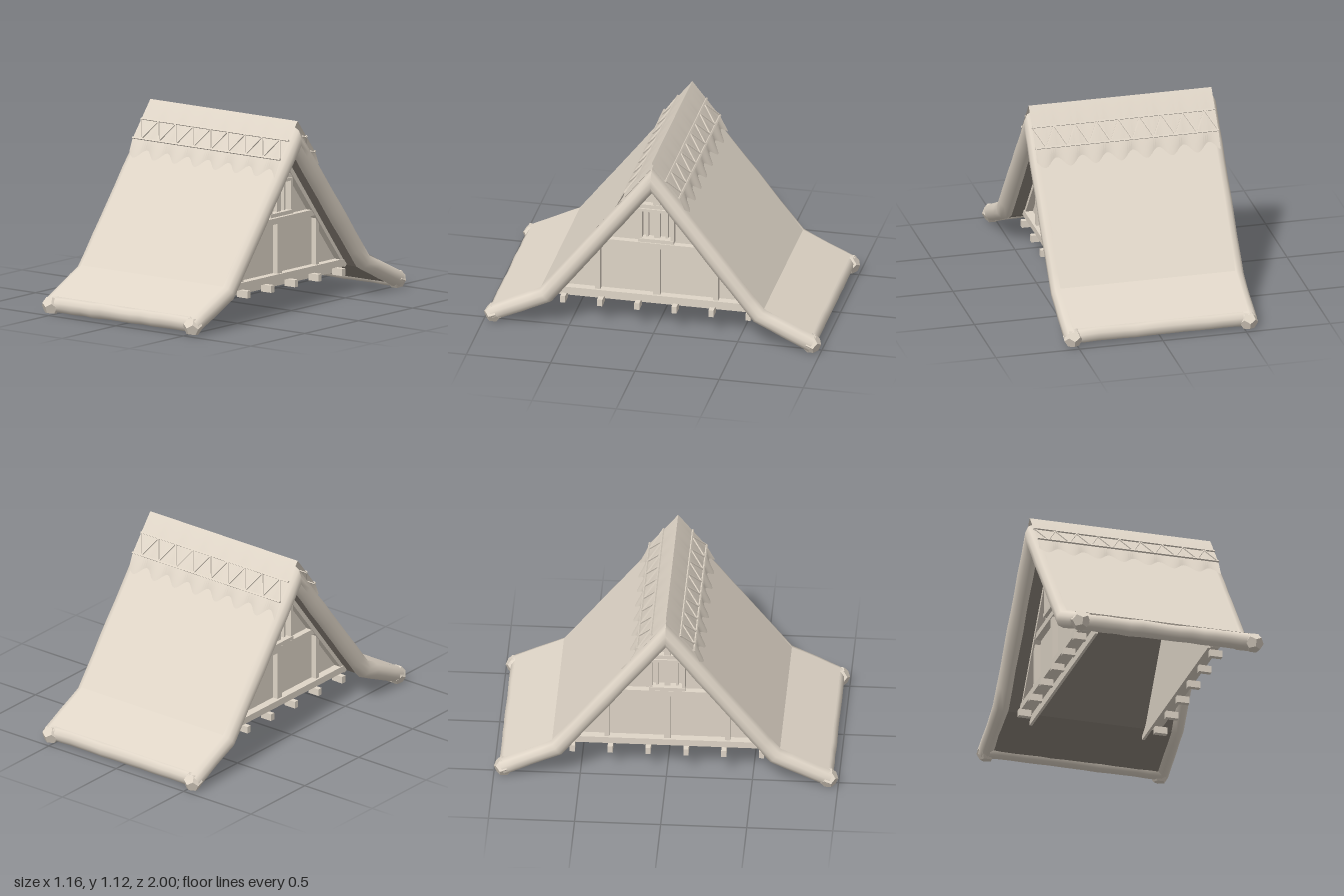
import * as THREE from 'three';
import { toCreasedNormals } from 'three/addons/utils/BufferGeometryUtils.js';

const V = (x, y, z) => new THREE.Vector3(x, y, z);

// small seeded generator for the uneven thatch rolls
function seeded(seed) {
  return () => {
    seed = (seed * 16807) % 2147483647;
    return seed / 2147483647;
  };
}

function indexed(positions, index, crease) {
  const g = new THREE.BufferGeometry();
  g.setAttribute('position', new THREE.Float32BufferAttribute(positions, 3));
  g.setIndex(index);
  return toCreasedNormals(g, crease);
}

// lumpy roll swept along a planar path with mitred corners
function roll(path, side, radius, seed) {
  const rnd = seeded(seed), sides = 10, pos = [], idx = [];
  path.forEach((p, i) => {
    const before = path[Math.max(i - 1, 0)], after = path[Math.min(i + 1, path.length - 1)];
    const t1 = (i ? p.clone().sub(before) : after.clone().sub(p)).normalize();
    const t2 = (i < path.length - 1 ? after.clone().sub(p) : t1.clone()).normalize();
    const t = t1.clone().add(t2).normalize();
    const n = side.clone().cross(t), mitre = 1 / t.dot(t1);
    const r = radius * (0.96 + 0.08 * rnd());
    for (let j = 0; j < sides; j++) {
      const a = (j / sides) * Math.PI * 2;
      const q = p.clone().addScaledVector(n, Math.cos(a) * r * mitre).addScaledVector(side, Math.sin(a) * r);
      pos.push(q.x, q.y, q.z);
      if (i) {
        const k = (j + 1) % sides, u = (i - 1) * sides, w = i * sides;
        idx.push(u + j, u + k, w + j, u + k, w + k, w + j);
      }
    }
  });
  return indexed(pos, idx, 0.8);
}

// sheet across x; every row gives [y, z] for a given x, from top to bottom
function sheet(halfWidth, steps, rows) {
  const pos = [], idx = [], n = steps + 1;
  rows.forEach((row, i) => {
    for (let j = 0; j < n; j++) {
      const x = -halfWidth + (2 * halfWidth * j) / steps;
      pos.push(x, ...row(x));
      if (i && j) {
        const a = (i - 1) * n + j - 1, c = i * n + j - 1;
        idx.push(a, c, a + 1, a + 1, c, c + 1);
      }
    }
  });
  return indexed(pos, idx, 0.4);
}

// rectangular bar between two points, depth measured along the normal
function bar(a, b, normal, width, depth) {
  const dir = b.clone().sub(a), g = new THREE.BoxGeometry(width, dir.length(), depth);
  const y = dir.normalize(), x = y.clone().cross(normal).normalize();
  const m = new THREE.Matrix4().makeBasis(x, y, x.clone().cross(y));
  m.setPosition(a.clone().add(b).multiplyScalar(0.5));
  return g.applyMatrix4(m);
}

export function createModel() {
  const model = new THREE.Group();
  const straw = new THREE.MeshStandardMaterial({ color: 0xdfd5c7, side: THREE.DoubleSide });
  straw.name = 'pale straw';
  const shade = new THREE.MeshStandardMaterial({ color: 0x8c847a, side: THREE.DoubleSide });
  shade.name = 'dark straw';
  const add = (parent, name, geometry, material = straw) => {
    const mesh = new THREE.Mesh(geometry, material);
    mesh.name = name;
    parent.add(mesh);
    return mesh;
  };

  // thatch rolls along both gable edges
  const corners = [[0.06, 0.95], [0.21, 0.632], [1.015, 0], [0.21, -0.632], [0.06, -0.95]];
  const counts = [4, 9, 9, 4];
  for (const s of [-1, 1]) {
    const path = [];
    counts.forEach((count, i) => {
      const [y0, z0] = corners[i], [y1, z1] = corners[i + 1];
      for (let k = 0; k < count; k++) {
        const f = k / count;
        path.push(V(s * 0.526, y0 + (y1 - y0) * f, z0 + (z1 - z0) * f));
      }
    });
    path.push(V(s * 0.526, 0.06, -0.95));
    add(model, 'gableRoll', roll(path, V(1, 0, 0), 0.0505, s + 40));
  }

  // each half of the roof; the second is turned to the back
  for (let half = 0; half < 2; half++) {
    const side = new THREE.Group();
    side.name = half ? 'backRoof' : 'frontRoof';
    side.rotation.y = half * Math.PI;
    model.add(side);

    add(side, 'thatch', sheet(0.527, 12, [
      () => [1.098, 0], () => [0.253, 0.662], () => [0.117, 0.945],
    ]));
    add(side, 'thatchUnderside', sheet(0.527, 12, [
      () => [0.965, 0], () => [0.178, 0.61], () => [0.035, 0.905],
    ]), shade);

    // roll along the eave with faceted ends
    const rnd = seeded(77 + half), eave = [];
    for (let i = 0; i <= 14; i++) {
      eave.push(V(-0.52 + (1.04 * i) / 14, 0.065 + 0.006 * rnd(), 0.922));
    }
    add(side, 'eaveRoll', roll(eave, V(0, 0, 1), 0.049, 9 + half));
    for (const s of [-1, 1]) {
      const end = add(side, 'rollEnd', new THREE.DodecahedronGeometry(0.058));
      end.position.set(s * 0.525, 0.06, 0.943);
      end.rotation.x = 0.4;
    }

    // ridge cap with a scalloped hem
    const hem = (x) => {
      const y = 0.848 - 0.023 * Math.cos((2 * Math.PI * (x - 0.107)) / 0.152);
      return [y, (1.098 - y) / 1.276 + 0.004];
    };
    add(side, 'ridgeCap', sheet(0.547, 84, [() => [1.134, 0], () => [0.925, 0.165], hem]));

    // lattice of rods on the cap
    const out = V(0, 0.62, 0.785), top = [1.03, 0.084], low = [0.93, 0.164];
    for (const [y, z] of [top, low]) {
      add(side, 'latticeRail', bar(V(-0.547, y, z), V(0.547, y, z), out, 0.01, 0.014));
    }
    const step = 1.094 / 17;
    for (let i = 0; i < 17; i++) {
      const [p, q] = i % 2 ? [low, top] : [top, low];
      const x = -0.547 + i * step;
      add(side, 'latticeRod', bar(V(x, ...p), V(x + step, ...q), out, 0.007, 0.01));
    }
  }

  // timber-framed gable walls
  const wallShape = new THREE.Shape([
    [-0.61, 0.18], [0.61, 0.18], [0, 0.99],
  ].map(([z, y]) => new THREE.Vector2(z, y)));
  // name, z0, y0, z1, y1, width, outward depth
  const timbers = [
    ['sill', -0.6, 0.2, 0.6, 0.2, 0.04, 0.05],
    ['collarBeam', -0.38, 0.533, 0.38, 0.533, 0.035, 0.04],
    ['centrePost', 0, 0.2, 0, 0.54, 0.04, 0.036],
    ['sidePost', -0.35, 0.2, -0.35, 0.53, 0.03, 0.036],
    ['sidePost', 0.35, 0.2, 0.35, 0.53, 0.03, 0.036],
    ['upperCollar', -0.2, 0.785, 0.2, 0.785, 0.025, 0.04],
    ['kingPost', 0, 0.78, 0, 0.95, 0.04, 0.036],
    ['rafter', 0.62, 0.19, 0, 0.975, 0.07, 0.045],
    ['rafter', -0.62, 0.19, 0, 0.975, 0.07, 0.045],
    ['windowSill', -0.105, 0.573, 0.105, 0.573, 0.022, 0.055],
    ['windowHead', -0.105, 0.765, 0.105, 0.765, 0.018, 0.05],
    ['windowJamb', -0.095, 0.57, -0.095, 0.77, 0.02, 0.05],
    ['windowJamb', 0.095, 0.57, 0.095, 0.77, 0.02, 0.05],
    ['windowMullion', 0, 0.57, 0, 0.77, 0.035, 0.03],
    ['windowBar', -0.058, 0.57, -0.058, 0.77, 0.014, 0.025],
    ['windowBar', 0.058, 0.57, 0.058, 0.77, 0.014, 0.025],
  ];
  for (let end = 0; end < 2; end++) {
    const gable = new THREE.Group();
    gable.name = end ? 'rightGable' : 'leftGable';
    gable.rotation.y = end * Math.PI;
    model.add(gable);

    const wall = new THREE.ExtrudeGeometry(wallShape, { depth: 0.045, bevelEnabled: false });
    add(gable, 'gableWall', wall.rotateY(Math.PI / 2).translate(0.335, 0, 0));
    add(gable, 'wallPlate', bar(V(0.341, 0.16, -0.66), V(0.341, 0.16, 0.66), V(1, 0, 0), 0.06, 0.016));
    for (const [name, z0, y0, z1, y1, width, depth] of timbers) {
      const x = 0.378 + depth / 2;
      add(gable, name, bar(V(x, y0, z0), V(x, y1, z1), V(1, 0, 0), width, depth));
    }
    // joist ends under the sill
    for (let i = 0; i < 6; i++) {
      const joist = add(gable, 'joistEnd', new THREE.BoxGeometry(0.075, 0.042, 0.03));
      joist.position.set(0.412, 0.148, -0.55 + 0.22 * i);
    }
  }
  return model;
}
